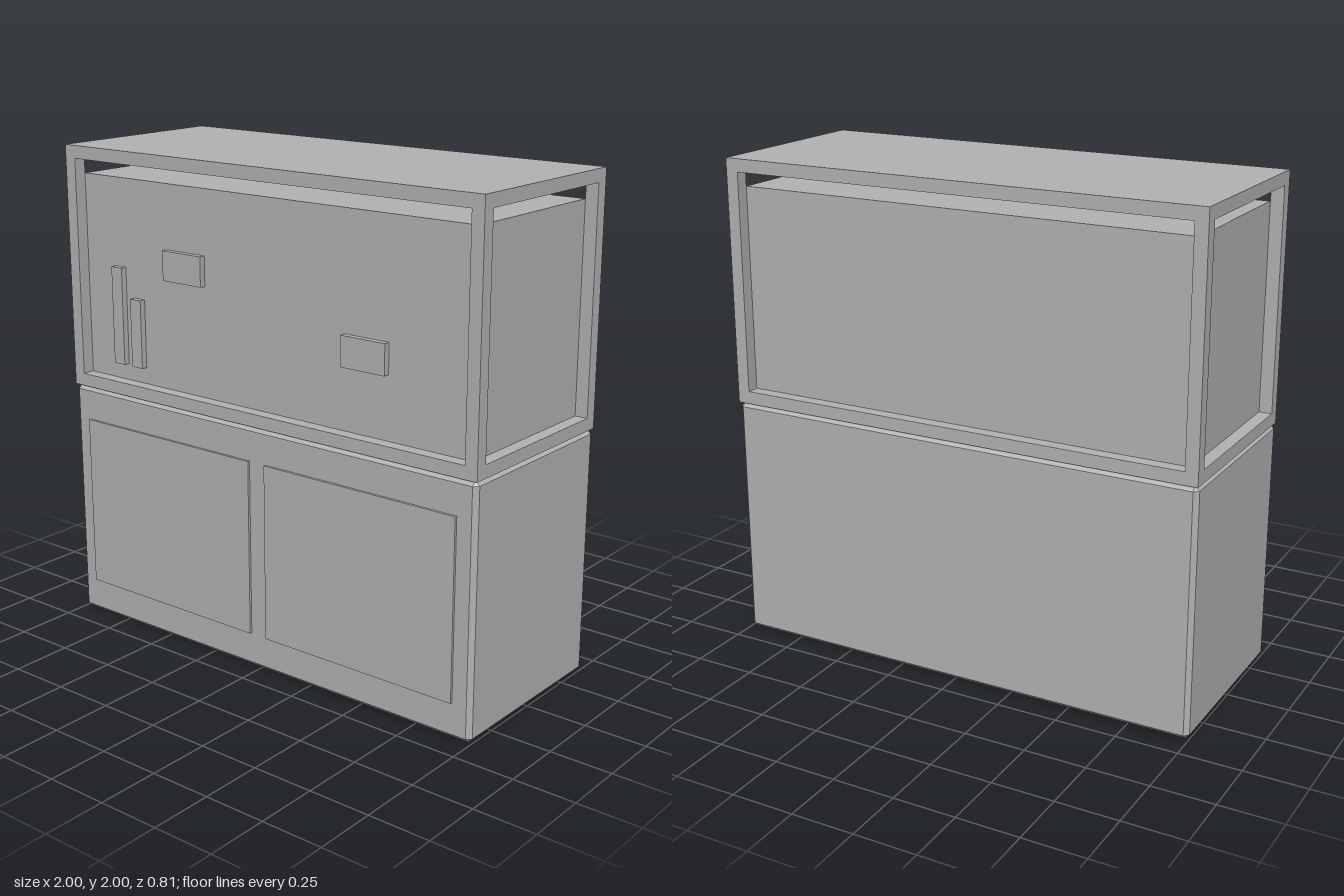
import * as THREE from 'three';
import { ConvexGeometry } from 'three/addons/geometries/ConvexGeometry.js';

const grey = new THREE.MeshStandardMaterial({ color: 0xb2b2b2 });
grey.name = 'plain grey';

const FRONT = 0.395, BACK = -0.405; // body depth, the doors stand proud of it
const BASE = 1.005, BAR = 0.052; // height of the tank base, frame thickness

// Box given by its limits along each axis
function block(name, [x0, x1], [y0, y1], [z0, z1]) {
  const mesh = new THREE.Mesh(new THREE.BoxGeometry(x1 - x0, y1 - y0, z1 - z0), grey);
  mesh.name = name;
  mesh.position.set((x0 + x1) / 2, (y0 + y1) / 2, (z0 + z1) / 2);
  return mesh;
}

// Box with every edge cut off flat
function chamferedBox(w, h, d, c) {
  const points = [];
  for (const sx of [-1, 1]) for (const sy of [-1, 1]) for (const sz of [-1, 1]) {
    for (let axis = 0; axis < 3; axis++) {
      const half = [w / 2 - c, h / 2 - c, d / 2 - c];
      half[axis] += c;
      points.push(new THREE.Vector3(sx * half[0], sy * half[1], sz * half[2]));
    }
  }
  return new ConvexGeometry(points);
}

export function createModel() {
  const model = new THREE.Group();
  model.name = 'aquariumOnCabinet';

  // Cabinet with two thin doors
  const cabinet = new THREE.Mesh(chamferedBox(2, BASE, FRONT - BACK, 0.018), grey);
  cabinet.name = 'cabinet';
  cabinet.position.set(0, BASE / 2, (FRONT + BACK) / 2);
  model.add(cabinet);
  model.add(block('rightDoor', [-0.92, -0.04], [0.145, 0.865], [FRONT - 0.005, 0.405]));
  model.add(block('leftDoor', [0.04, 0.92], [0.145, 0.865], [FRONT - 0.005, 0.405]));

  // Tank frame: floor, lid and four corner posts
  const frame = new THREE.Group();
  frame.name = 'tankFrame';
  const floor = BASE + BAR, lid = 2 - BAR;
  frame.add(block('tankFloor', [-1, 1], [BASE, floor], [BACK, FRONT]));
  frame.add(block('lid', [-1, 1], [lid, 2], [BACK, FRONT]));
  for (const x of [[-1, -1 + BAR], [1 - BAR, 1]]) {
    for (const z of [[BACK, BACK + BAR], [FRONT - BAR, FRONT]]) {
      frame.add(block('cornerPost', x, [floor, lid], z));
    }
  }
  model.add(frame);

  // Water body, set back behind the frame with a gap under the lid
  const waterFront = FRONT - BAR;
  model.add(block('water', [BAR - 1, 1 - BAR], [floor, 1.885], [BACK + BAR, waterFront]));

  // Plants and fish standing out from the water's front
  const decor = [
    ['tallPlant', [-0.79, -0.733], [1.125, 1.525]],
    ['shortPlant', [-0.69, -0.633], [1.125, 1.405]],
    ['upperFish', [-0.503, -0.303], [1.505, 1.625]],
    ['lowerFish', [0.38, 0.58], [1.305, 1.425]],
  ];
  for (const [name, x, y] of decor) {
    model.add(block(name, x, y, [waterFront - 0.01, waterFront + 0.025]));
  }
  return model;
}
